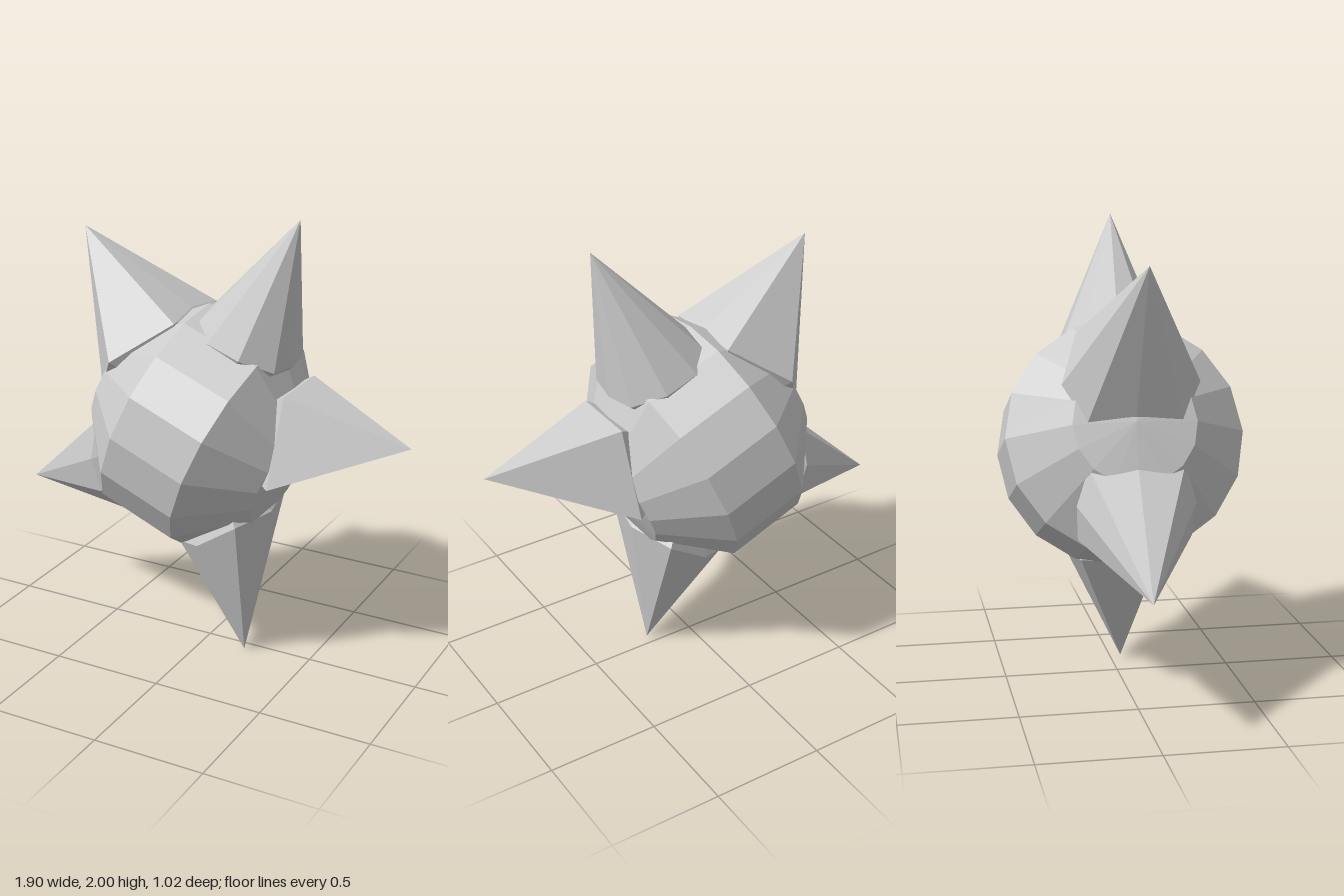
import * as THREE from 'three';
import { ConvexGeometry } from 'three/addons/geometries/ConvexGeometry.js';

const CENTER = [-0.03, 1.04, 0];

// Each spike: tip, then half of its base outline (z >= 0, mirrored to the back).
const SPIKES = {
  topSpike: [[0.43, 2, 0.045], [
    [-0.03, 1.53, 0], [0, 1.52, 0.14], [0.1, 1.48, 0.22], [0.25, 1.43, 0.23], [0.37, 1.37, 0.14], [0.39, 1.36, 0]]],
  upperRightSpike: [[-0.6, 1.85, 0.02], [
    [-0.09, 1.55, 0], [-0.07, 1.53, 0.19], [-0.33, 1.35, 0.29], [-0.42, 1.2, 0.2], [-0.43, 1.2, 0]]],
  lowerRightSpike: [[-0.95, 0.59, -0.03], [
    [-0.47, 1.05, 0], [-0.46, 1.03, 0.2], [-0.46, 0.87, 0.25], [-0.42, 0.72, 0.24], [-0.35, 0.6, 0.12], [-0.35, 0.6, 0]]],
  bottomSpike: [[0.2, 0, 0.05], [
    [-0.07, 0.52, 0], [-0.06, 0.53, 0.17], [0.05, 0.55, 0.22], [0.25, 0.69, 0.25], [0.3, 0.68, 0]]],
  leftSpike: [[0.95, 1.12, 0.06], [
    [0.42, 1.28, 0], [0.42, 1.28, 0.15], [0.4, 0.9, 0.26], [0.39, 0.89, 0]]],
};

export function createModel() {
  const model = new THREE.Group();
  model.name = 'spikedBall';
  const material = new THREE.MeshStandardMaterial({ color: 0xcccccc, flatShading: true });

  // Faceted body: a squat sixteen-sided ball on a tilted axis
  const profile = [[0, -0.45], [0.26, -0.42], [0.51, -0.18], [0.51, 0.18], [0.26, 0.42], [0, 0.45]];
  const body = new THREE.Mesh(
    new THREE.LatheGeometry(profile.map(([r, u]) => new THREE.Vector2(r, u)), 16), material);
  body.name = 'body';
  body.position.set(...CENTER);
  body.rotation.z = -1.96;
  model.add(body);

  // Spikes: faceted pyramids whose roots reach the middle of the body
  for (const [name, [tip, base]] of Object.entries(SPIKES)) {
    const points = [new THREE.Vector3(...tip), new THREE.Vector3(...CENTER)];
    for (const [x, y, z] of base) {
      points.push(new THREE.Vector3(x, y, z));
      if (z > 0) points.push(new THREE.Vector3(x, y, -z));
    }
    const spike = new THREE.Mesh(new ConvexGeometry(points), material);
    spike.name = name;
    model.add(spike);
  }
  return model;
}
